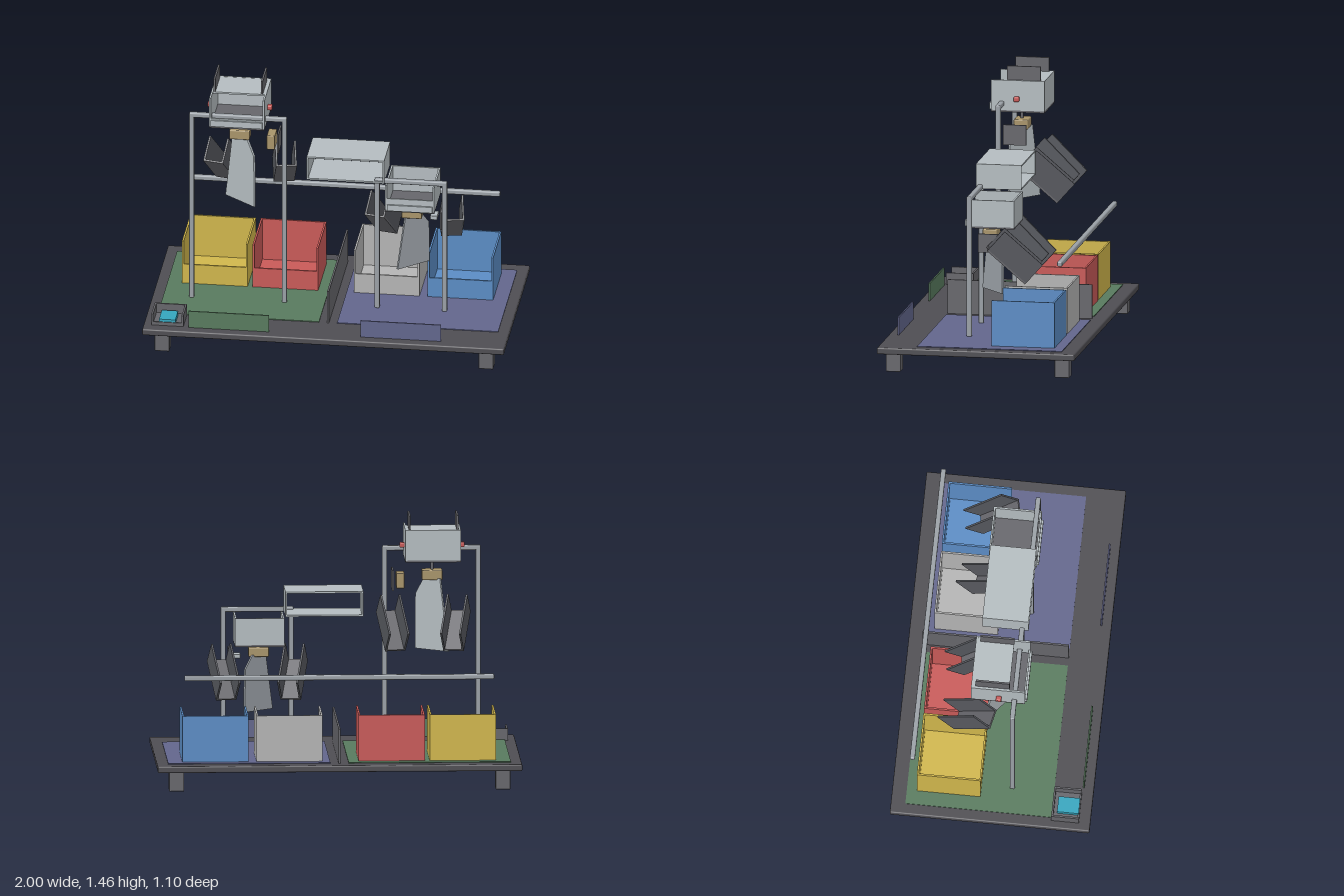
import * as THREE from 'three';
import { RoundedBoxGeometry } from 'three/addons/geometries/RoundedBoxGeometry.js';

const mats = {};
function mat(color) {
  return (mats[color] ??= new THREE.MeshStandardMaterial({ color, side: THREE.DoubleSide }));
}
const DARK = 0x4e4d52, CHARCOAL = 0x66666b, METAL = 0x9aa0a6, SHELL = 0xb4bcc0, TAN = 0xa8946a;
const GREEN = 0x587a5e, VIOLET = 0x62668c, RED = 0xc85a58;

// Box given by its min and max corners; r rounds the edges
function block(parent, name, color, [x0, y0, z0], [x1, y1, z1], r = 0) {
  const s = [x1 - x0, y1 - y0, z1 - z0];
  const geo = r ? new RoundedBoxGeometry(...s, 2, r) : new THREE.BoxGeometry(...s);
  const m = new THREE.Mesh(geo, mat(color));
  m.position.set((x0 + x1) / 2, (y0 + y1) / 2, (z0 + z1) / 2);
  m.name = name;
  parent.add(m);
  return m;
}

// Open-topped box whose front wall has its own height
function openBin(parent, name, color, [x0, y0, z0], [x1, y1, z1], frontY, floorColor = color) {
  const g = new THREE.Group(), t = 0.01;
  g.name = name;
  block(g, 'floor', floorColor, [x0, y0, z0], [x1, y0 + t, z1]);
  block(g, 'backWall', color, [x0, y0 + t, z0], [x1, y1, z0 + t]);
  block(g, 'rightWall', color, [x0, y0 + t, z0 + t], [x0 + t, y1, z1]);
  block(g, 'leftWall', color, [x1 - t, y0 + t, z0 + t], [x1, y1, z1]);
  block(g, 'frontWall', color, [x0 + t, y0 + t, z1 - t], [x1 - t, frontY, z1]);
  parent.add(g);
  return g;
}

// Two posts and a crossbeam
function gantry(parent, name, x0, x1, top) {
  const g = new THREE.Group(), w = 0.027, z0 = 0.09, z1 = 0.118;
  g.name = name;
  block(g, 'post', METAL, [x0, 0.147, z0], [x0 + w, top, z1], 0.007);
  block(g, 'post', METAL, [x1 - w, 0.147, z0], [x1, top, z1], 0.007);
  block(g, 'crossbeam', METAL, [x0, top - w, z0], [x1, top, z1], 0.007);
  parent.add(g);
}

// Sloping U-shaped channel, falling toward the back
function chute(parent, name, x, y, z, yaw) {
  const g = new THREE.Group(), L = 0.28, H = 0.145, W = 0.115, t = 0.01;
  g.name = name;
  block(g, 'chuteFloor', CHARCOAL, [-W / 2, -H / 2, -L / 2], [W / 2, -H / 2 + t, L / 2]);
  for (const s of [-1, 1]) {
    const c = s * (W - t) / 2;
    block(g, 'chuteWall', 0x56585e, [c - t / 2, -H / 2, -L / 2], [c + t / 2, H / 2, L / 2]);
  }
  g.position.set(x, y, z);
  g.rotation.set(-0.735, yaw, 0, 'YXZ');
  g.rotation.x = -g.rotation.x * -1;
  parent.add(g);
}

// Thin swinging blade with one shoulder, hanging from y = 0
function flap(parent, name, color, x, y, height, width, yaw) {
  const w = width / 2;
  const s = new THREE.Shape([
    [-w * 0.5, 0], [-w, -height], [w, -height], [w * 0.97, -height * 0.24], [w * 0.45, 0],
  ].map(([a, b]) => new THREE.Vector2(a, b)));
  const geo = new THREE.ExtrudeGeometry(s, { depth: 0.012, bevelEnabled: false });
  geo.translate(0, 0, -0.006);
  const m = new THREE.Mesh(geo, mat(color));
  m.position.set(x, y, 0.005);
  m.rotation.y = yaw;
  m.name = name;
  parent.add(m);
}

// Drive motor with its shaft
function drive(parent, x, y0, y1, shaftTop) {
  block(parent, 'flapDrive', TAN, [x - 0.056, y0, -0.025], [x + 0.056, y1, 0.055], 0.006);
  const shaft = new THREE.Mesh(new THREE.CylinderGeometry(0.009, 0.009, shaftTop - y0, 16), mat(CHARCOAL));
  shaft.position.set(x, (shaftTop + y0) / 2, 0.018);
  shaft.name = 'driveShaft';
  parent.add(shaft);
}

export function createModel() {
  const root = new THREE.Group();
  root.name = 'sortingStation';

  // Base, feet, floor zones and divider
  block(root, 'baseBoard', DARK, [-1, 0.108, -0.55], [1, 0.145, 0.55], 0.008);
  for (const x of [-0.895, 0.895]) for (const z of [-0.47, 0.47])
    block(root, 'foot', CHARCOAL, [x - 0.041, 0, z - 0.041], [x + 0.041, 0.11, z + 0.041], 0.005);
  block(root, 'greenZone', GREEN, [-0.94, 0.143, -0.47], [-0.05, 0.149, 0.335]);
  block(root, 'violetZone', VIOLET, [0.05, 0.143, -0.47], [0.94, 0.149, 0.335]);
  block(root, 'divider', CHARCOAL, [-0.005, 0.145, -0.47], [0.005, 0.335, 0.335]);

  // Collection bins
  for (const [name, color, x] of [['yellowBin', 0xd0b64c, -0.86], ['redBin', RED, -0.47],
    ['whiteBin', 0xb4b4b4, 0.09], ['blueBin', 0x5b8cc4, 0.497]])
    openBin(root, name, color, [x, 0.149, -0.415], [x + 0.363, 0.403, -0.065], 0.263);

  // Rear rail and the two gantries
  block(root, 'rearRail', METAL, [-0.85, 0.603, -0.455], [0.85, 0.632, -0.427], 0.008);
  gantry(root, 'tallGantry', -0.797, -0.257, 1.265);
  gantry(root, 'lowGantry', 0.228, 0.628, 0.93);

  // Upper hopper with lid, fins, front lip and side buttons
  const upper = openBin(root, 'upperHopper', SHELL, [-0.68, 1.205, -0.135], [-0.375, 1.383, 0.163], 1.262, CHARCOAL);
  block(upper, 'lid', SHELL, [-0.67, 1.372, -0.13], [-0.385, 1.382, 0.075]);
  for (const x of [-0.662, -0.4])
    block(upper, 'fin', CHARCOAL, [x - 0.005, 1.382, -0.11], [x + 0.005, 1.46, 0.077]);
  block(upper, 'frontLip', SHELL, [-0.67, 1.217, 0.16], [-0.385, 1.253, 0.173]);
  for (const x of [-0.692, -0.363])
    block(upper, 'sideButton', RED, [x - 0.014, 1.267, 0.003], [x + 0.014, 1.295, 0.034], 0.007);

  // Lower hopper
  const lower = openBin(root, 'lowerHopper', SHELL, [0.288, 0.742, -0.135], [0.56, 0.9, 0.13], 0.82, CHARCOAL);
  block(lower, 'frontLip', SHELL, [0.3, 0.75, 0.128], [0.55, 0.785, 0.14]);

  // Tunnel open at front and back, linking the hoppers
  const tunnel = new THREE.Group();
  tunnel.name = 'transferTunnel';
  block(tunnel, 'roof', SHELL, [-0.145, 1.036, -0.126], [0.283, 1.045, 0.128]);
  block(tunnel, 'tunnelFloor', SHELL, [-0.145, 0.907, -0.126], [0.283, 0.916, 0.128]);
  for (const x of [-0.145, 0.275])
    block(tunnel, 'tunnelSide', SHELL, [x, 0.916, -0.126], [x + 0.008, 1.036, 0.128]);
  root.add(tunnel);

  // Flap drives, flaps and sensors
  drive(root, -0.527, 1.09, 1.145, 1.205);
  drive(root, 0.425, 0.67, 0.722, 0.745);
  flap(root, 'upperFlap', SHELL, -0.527, 1.1, 0.4, 0.225, -0.67);
  flap(root, 'lowerFlap', METAL, 0.427, 0.68, 0.31, 0.21, 0.72);
  block(root, 'upperSensor', TAN, [-0.375, 1.045, -0.03], [-0.33, 1.13, 0.065], 0.005);
  block(root, 'upperSensorPlate', CHARCOAL, [-0.315, 1.035, -0.045], [-0.306, 1.148, 0.083]);
  block(root, 'lowerSensor', SHELL, [0.525, 0.663, -0.03], [0.565, 0.687, 0.04], 0.004);
  block(root, 'lowerSensorPlate', CHARCOAL, [0.583, 0.615, -0.06], [0.592, 0.718, 0.06]);

  // Chutes
  for (const [x, y, z, yaw] of [[-0.648, 0.875, -0.16, -0.22], [-0.305, 0.875, -0.16, 0.2],
    [0.245, 0.607, -0.15, -0.22], [0.622, 0.607, -0.15, 0.2]])
    chute(root, 'chute', x, y, z, yaw);

  // Front signs
  block(root, 'greenSign', GREEN, [-0.75, 0.147, 0.49], [-0.305, 0.245, 0.498]);
  block(root, 'violetSign', VIOLET, [0.2, 0.147, 0.49], [0.645, 0.245, 0.498]);

  // Control box with its screen
  const control = openBin(root, 'controlBox', CHARCOAL, [-0.957, 0.145, 0.335], [-0.78, 0.21, 0.487], 0.165);
  block(control, 'screen', 0x35a5bd, [-0.915, 0.155, 0.363], [-0.825, 0.18, 0.482]);

  return root;
}
